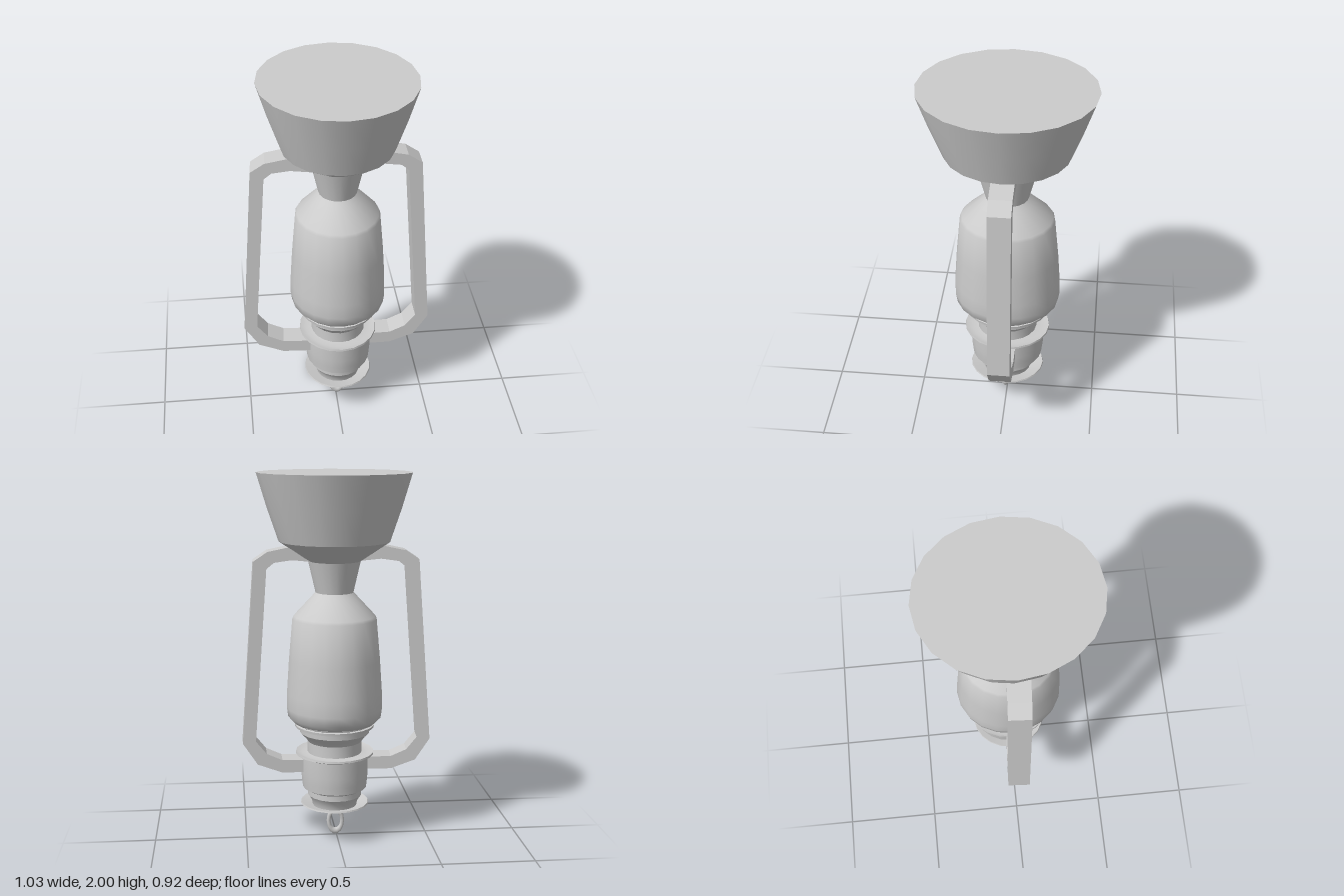
import * as THREE from 'three';
import { toCreasedNormals } from 'three/addons/utils/BufferGeometryUtils.js';

const material = new THREE.MeshStandardMaterial({ color: 0xcccccc, side: THREE.DoubleSide });

function addMesh(parent, name, geometry) {
  const mesh = new THREE.Mesh(geometry, material);
  mesh.name = name;
  parent.add(mesh);
  return mesh;
}

// Turned part from [radius, height] pairs, listed bottom to top
function turned(parent, name, profile, crease = 0.6) {
  const points = profile.map(([r, y]) => new THREE.Vector2(r, y));
  return addMesh(parent, name, toCreasedNormals(new THREE.LatheGeometry(points, 20), crease));
}

export function createModel() {
  const model = new THREE.Group();
  model.name = 'lantern';

  // Turned body, slightly narrower across x than z
  const body = new THREE.Group();
  body.name = 'body';
  body.scale.x = 0.9;
  body.position.x = 0.01;
  model.add(body);

  turned(body, 'cap', [[0, 0.142], [0.06, 0.143], [0.135, 0.17], [0.208, 0.195], [0.205, 0.202], [0.14, 0.188]]);
  turned(body, 'lowerCollar', [
    [0.135, 0.185], [0.14, 0.21], [0.165, 0.245], [0.165, 0.275], [0.195, 0.29],
    [0.2, 0.33], [0.205, 0.38], [0.205, 0.475],
  ]);
  turned(body, 'collarDisc', [[0.16, 0.462], [0.2, 0.466], [0.238, 0.48], [0.236, 0.49], [0.2, 0.482], [0.15, 0.49]]);
  turned(body, 'upperCollar', [
    [0.165, 0.47], [0.165, 0.55], [0.185, 0.575], [0.212, 0.6], [0.215, 0.64],
  ]);
  turned(body, 'glassSeat', [[0.2, 0.632], [0.24, 0.632], [0.242, 0.645], [0.228, 0.648], [0.243, 0.655], [0.243, 0.664], [0.2, 0.664]]);
  turned(body, 'glass', [
    [0.2, 0.655], [0.25, 0.66], [0.282, 0.69], [0.29, 0.74], [0.288, 0.82],
    [0.275, 1.0], [0.253, 1.225], [0.243, 1.24], [0.14, 1.34], [0.11, 1.37],
  ], 0.9);
  turned(body, 'neck', [[0.112, 1.36], [0.157, 1.535]]);
  turned(body, 'base', [[0.157, 1.535], [0.33, 1.64], [0.398, 1.82], [0.458, 2], [0, 2]]);

  // Flat-banded side handles
  const outline = [
    [0.1, 1.575], [0.15, 1.595], [0.26, 1.613], [0.37, 1.59], [0.444, 1.54],
    [0.513, 0.555], [0.434, 0.436], [0.3, 0.387], [0.15, 0.387],
    [0.15, 0.455], [0.3, 0.457], [0.385, 0.495], [0.442, 0.565],
    [0.375, 1.5], [0.335, 1.533], [0.24, 1.546], [0.13, 1.535],
  ];
  for (const side of [1, -1]) {
    const shape = new THREE.Shape(outline.map(([x, y]) => new THREE.Vector2(side * x, y)));
    const geometry = new THREE.ExtrudeGeometry(shape, { depth: 0.12, bevelEnabled: false });
    geometry.translate(0, 0, -0.06);
    const handle = addMesh(model, side > 0 ? 'leftHandle' : 'rightHandle', geometry);
    // The right handle sits slightly askew
    if (side < 0) {
      handle.rotation.y = -0.06;
      handle.position.z = 0.04;
    }
  }

  // Hanging loop at the tip
  const loop = addMesh(model, 'hangingLoop', new THREE.TorusGeometry(0.038, 0.011, 8, 14));
  loop.scale.set(1, 1.65, 1.2);
  loop.position.set(0.005, 0.081, 0.01);

  return model;
}
